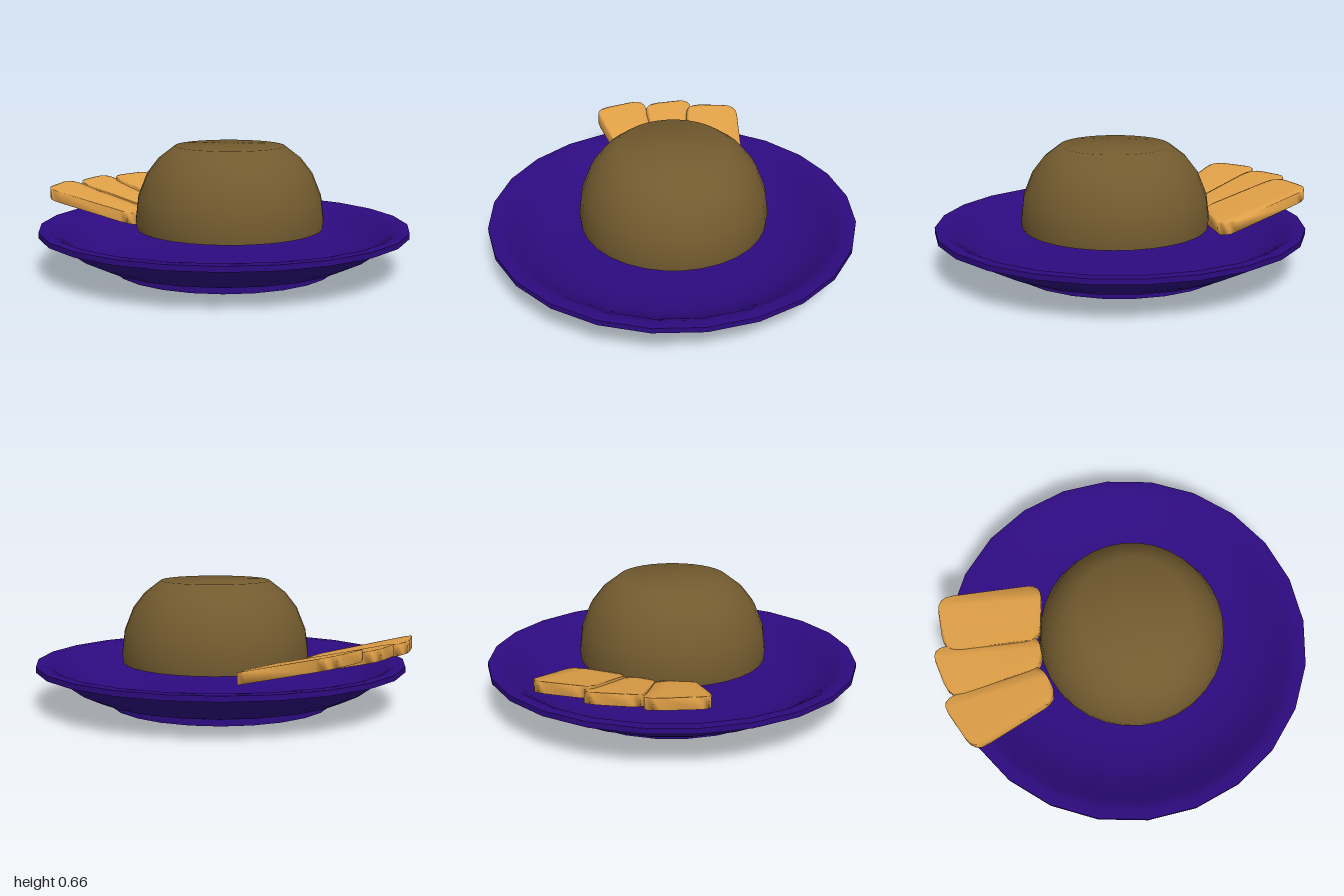
import * as THREE from 'three';
import { mergeVertices, toCreasedNormals } from 'three/addons/utils/BufferGeometryUtils.js';

const material = (name, color) => {
  const m = new THREE.MeshStandardMaterial({ color });
  m.name = name;
  return m;
};

const lathe = (points, segments, crease) => toCreasedNormals(
  new THREE.LatheGeometry(points.map(([r, y]) => new THREE.Vector2(r, y)), segments), crease);

// Soft slab: plan corners are [backLeft, backRight, frontRight, frontLeft] as [x, z], seen from above
function slabGeometry(corners) {
  const c = corners.map(([x, z]) => new THREE.Vector2(x, -z));
  const shape = new THREE.Shape();
  c.forEach((corner, i) => {
    // round each corner of the plan
    const toward = (other) => corner.clone().add(other.clone().sub(corner).setLength(0.085));
    const start = toward(c[(i + 3) % 4]), end = toward(c[(i + 1) % 4]);
    if (i === 0) shape.moveTo(start.x, start.y);
    else shape.lineTo(start.x, start.y);
    shape.quadraticCurveTo(corner.x, corner.y, end.x, end.y);
  });
  shape.closePath();

  let g = new THREE.ExtrudeGeometry(shape, { depth: 1, bevelEnabled: false, curveSegments: 4 });
  g.rotateX(-Math.PI / 2);
  g.deleteAttribute('uv');
  g.deleteAttribute('normal');
  g = mergeVertices(g);

  // tilt along the slab's own length, so its whole back edge is raised
  const back = c[0].clone().add(c[1]).multiplyScalar(0.5);
  const axis = c[2].clone().add(c[3]).multiplyScalar(0.5).sub(back);
  const p = g.attributes.position;
  for (let i = 0; i < p.count; i++) {
    const offset = new THREE.Vector2(p.getX(i), -p.getZ(i)).sub(back);
    const t = offset.dot(axis) / axis.lengthSq();
    p.setY(i, p.getY(i) > 0.5 ? THREE.MathUtils.lerp(0.394, 0.262, t) : THREE.MathUtils.lerp(0.335, 0.2, t));
  }
  g.computeVertexNormals();
  return g;
}

export function createModel() {
  const model = new THREE.Group();
  const purple = material('purple glaze', 0x2d0b80);
  const brown = material('brown', 0x735b2f);
  const golden = material('golden', 0xe0a047);

  // Plate: recessed base, foot ring, curved underside, flat rim and a dish following the underside
  const plate = new THREE.Mesh(lathe([
    [0, 0.042], [0.25, 0.042], [0.26, 0.038], [0.54, 0.03], [0.56, 0], [0.59, 0], [0.59, 0.033],
    [0.7, 0.06], [0.79, 0.103], [0.85, 0.147], [0.9, 0.182], [0.94, 0.197], [0.98, 0.202],
    [0.98, 0.23], [0.925, 0.23], [0.89, 0.212], [0.84, 0.175], [0.78, 0.133], [0.7, 0.095],
    [0.6, 0.073], [0.5, 0.068], [0, 0.068],
  ], 24, 0.48), purple);
  plate.name = 'plate';
  plate.position.z = 0.015;
  model.add(plate);

  // Dome: a closed ball half with a flattened top
  const dome = new THREE.Mesh(lathe([
    [0, 0.222], [0.495, 0.222], [0.5, 0.27], [0.485, 0.39], [0.437, 0.51], [0.375, 0.59], [0.29, 0.655], [0, 0.656],
  ], 32, 0.9), brown);
  dome.name = 'dome';
  dome.position.set(0.01, 0, 0.047);
  model.add(dome);

  // Three slabs fanned out behind the dome
  const slabs = new THREE.Group();
  slabs.name = 'slabs';
  const plans = [
    [[-0.56, -0.83], [-0.28, -0.985], [-0.09, -0.46], [-0.29, -0.38]],
    [[-0.27, -0.935], [0.01, -1.02], [0.08, -0.455], [-0.11, -0.44]],
    [[-0.01, -0.95], [0.295, -0.975], [0.37, -0.415], [0.04, -0.45]],
  ];
  plans.forEach((plan, i) => {
    const slab = new THREE.Mesh(slabGeometry(plan), golden);
    slab.name = 'slab' + (i + 1);
    slabs.add(slab);
  });
  model.add(slabs);
  return model;
}
